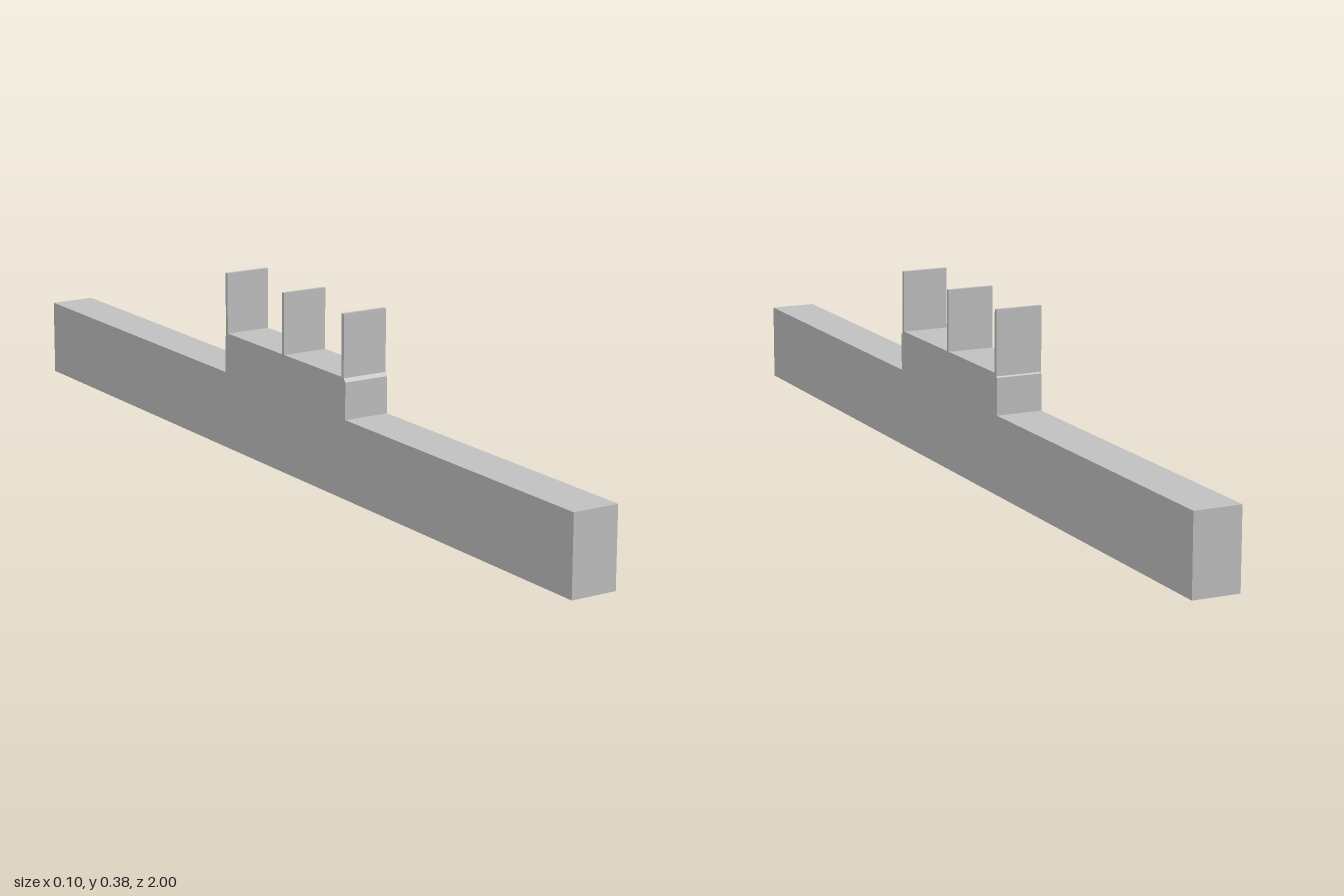
import * as THREE from 'three';

const WIDTH = 0.1;

export function createModel() {
  const group = new THREE.Group();
  const grey = new THREE.MeshStandardMaterial({ color: 0xc0c0c0 });
  grey.name = 'light grey';

  // Beam with a raised, lightly chamfered middle: side profile as (z, y)
  const profile = new THREE.Shape([
    [-1, 0], [1, 0], [1, 0.165], [0.255, 0.165], [0.255, 0.242], [0.248, 0.251],
    [-0.204, 0.251], [-0.21, 0.242], [-0.21, 0.165], [-1, 0.165],
  ].map(([z, y]) => new THREE.Vector2(z, y)));
  const beamGeometry = new THREE.ExtrudeGeometry(profile, { depth: WIDTH, bevelEnabled: false });
  beamGeometry.translate(0, 0, -WIDTH / 2);
  beamGeometry.rotateY(-Math.PI / 2); // profile x becomes z
  const beam = new THREE.Mesh(beamGeometry, grey);
  beam.name = 'beam';
  group.add(beam);

  // Three thin upright plates on the raised middle
  const bottom = 0.245, top = 0.381;
  const plateGeometry = new THREE.BoxGeometry(WIDTH, top - bottom, 0.008);
  [0.245, 0.021, -0.204].forEach((z, i) => {
    const plate = new THREE.Mesh(plateGeometry, grey);
    plate.name = ['frontPlate', 'middlePlate', 'backPlate'][i];
    plate.position.set(0, (bottom + top) / 2, z);
    group.add(plate);
  });

  return group;
}
